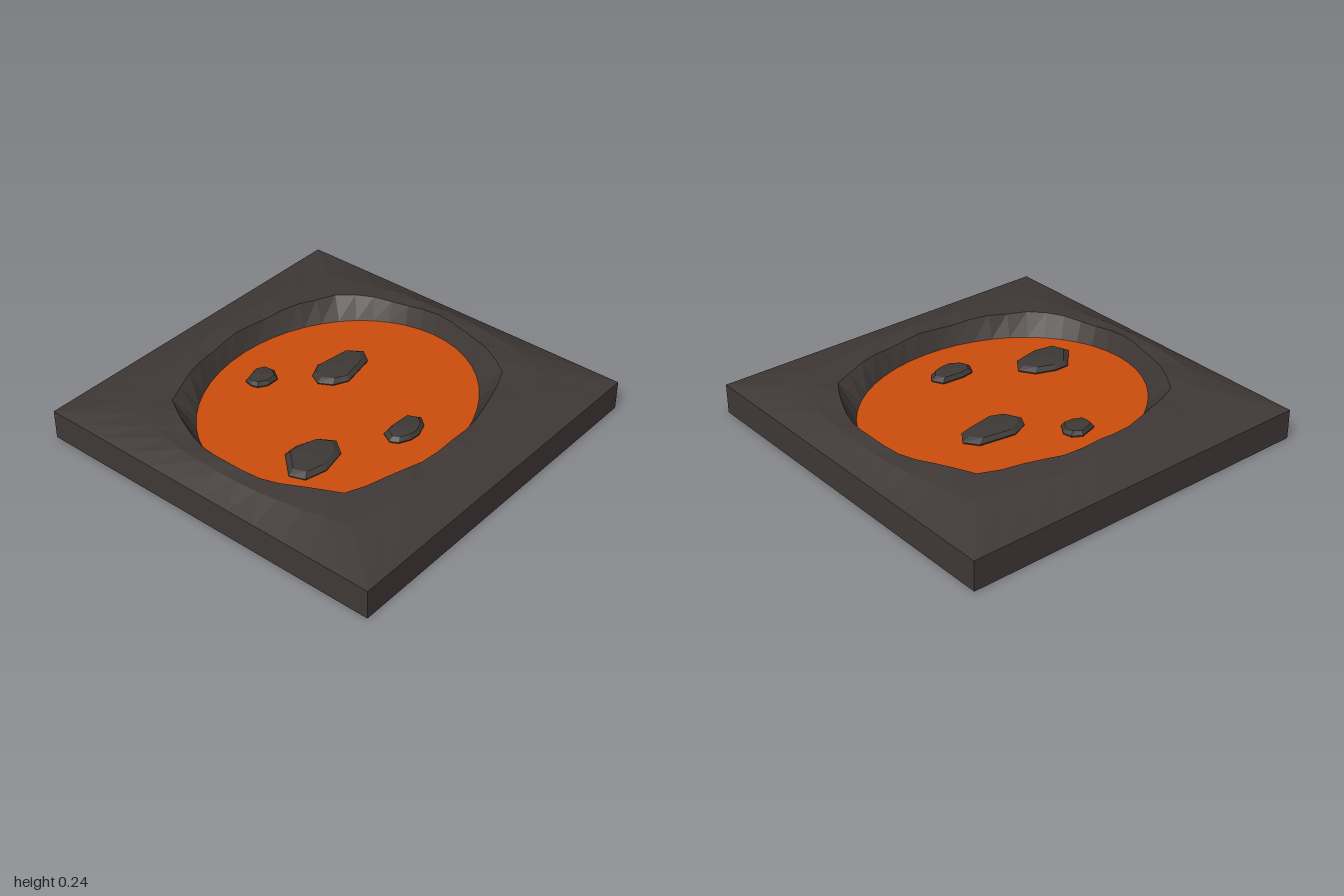
import * as THREE from 'three';

const stone = new THREE.MeshStandardMaterial({ color: 0x3f3836, flatShading: true });
stone.name = 'darkStone';
const rock = new THREE.MeshStandardMaterial({ color: 0x3d3936, flatShading: true });
rock.name = 'greyRock';
const lava = new THREE.MeshStandardMaterial({ color: 0xcd4c0d });
lava.name = 'lavaOrange';

const LAVA_Y = 0.13;
const STEPS = 12; // points per side of each ring

// Joins equal-length loops of points into a faceted skin
function skin(rings) {
  const pos = [];
  const tri = (a, b, c) => {
    if (a.distanceTo(b) > 1e-6 && b.distanceTo(c) > 1e-6 && a.distanceTo(c) > 1e-6) {
      for (const p of [a, b, c]) pos.push(p.x, p.y, p.z);
    }
  };
  for (let r = 0; r < rings.length - 1; r++) {
    const a = rings[r], b = rings[r + 1], n = a.length;
    for (let i = 0; i < n; i++) {
      const j = (i + 1) % n;
      tri(a[i], b[i], a[j]);
      tri(a[j], b[i], b[j]);
    }
  }
  const g = new THREE.BufferGeometry();
  g.setAttribute('position', new THREE.Float32BufferAttribute(pos, 3));
  g.computeVertexNormals();
  return g;
}

// Walks the four sides (west, north, east, south); place(alongX, u) gives [outward, sideways]
function ring(place, height) {
  const pts = [];
  const sides = [[-1, 0], [0, -1], [1, 0], [0, 1]];
  for (const [nx, nz] of sides) {
    for (let i = 0; i < STEPS; i++) {
      const u = (2 * i) / STEPS - 1;
      const [n, t] = place(nx !== 0, u);
      const x = nx * n - nz * t, z = nz * n + nx * t;
      pts.push(new THREE.Vector3(x, height(u, Math.atan2(x, z)), z));
    }
  }
  return pts;
}

// Rounded square: corner at (cx, cz), sides bulging out by bx and bz
const bulged = (cx, cz, bx, bz) => (alongX, u) =>
  alongX ? [cx + bx * (1 - u * u), cz * u] : [cz + bz * (1 - u * u), cx * u];

const ellipse = (rx, rz) => (alongX, u) => {
  const a = (u * Math.PI) / 4;
  return alongX ? [rx * Math.cos(a), rz * Math.sin(a)] : [rz * Math.cos(a), rx * Math.sin(a)];
};

// Low faceted rock from its outline on the lava
function makeRock(outline) {
  const n = outline.length;
  const cx = outline.reduce((s, p) => s + p[0], 0) / n;
  const cz = outline.reduce((s, p) => s + p[1], 0) / n;
  const loop = (scale, y) => outline.map(([x, z], i) => new THREE.Vector3(
    cx + (x - cx) * scale, y + (scale < 0.9 && scale > 0 ? 0.003 * (i % 2) : 0), cz + (z - cz) * scale));
  return skin([loop(0.95, LAVA_Y - 0.01), loop(1, LAVA_Y + 0.008),
    loop(0.8, LAVA_Y + 0.026), loop(0, LAVA_Y + 0.036)]);
}

export function createModel() {
  const model = new THREE.Group();
  model.name = 'lavaPoolTile';
  const add = (name, geometry, material) => {
    const mesh = new THREE.Mesh(geometry, material);
    mesh.name = name;
    model.add(mesh);
  };

  // Square slab rising to a wavy rim, then dropping into the basin
  const square = bulged(1, 1, 0, 0);
  add('stoneBasin', skin([
    ring(bulged(0, 0, 0, 0), () => 0),
    ring(square, () => 0),
    ring(square, () => 0.16),
    ring(bulged(0.76, 0.71, 0.12, 0.1), (u) => 0.226 - 0.012 * u * u),
    ring(bulged(0.62, 0.55, 0.19, 0.15), (u, a) => 0.233 + 0.007 * Math.cos(12 * a)),
    ring(ellipse(0.775, 0.655), () => LAVA_Y),
  ]), stone);

  // Flat lava surface
  add('lavaSurface', skin([
    ring(ellipse(0.775, 0.655), () => LAVA_Y),
    ring(ellipse(0, 0), () => LAVA_Y),
  ]), lava);

  // Rocks floating on the lava
  const outlines = [
    [[-0.61, 0.2], [-0.5, 0.08], [-0.42, 0.08], [-0.31, 0.12], [-0.26, 0.2], [-0.32, 0.28], [-0.46, 0.31], [-0.58, 0.28]],
    [[0.04, -0.18], [0.07, -0.24], [0.16, -0.28], [0.36, -0.25], [0.41, -0.18], [0.36, -0.11], [0.16, -0.07], [0.08, -0.11]],
    [[-0.1, 0.4], [-0.07, 0.34], [0, 0.33], [0.12, 0.34], [0.15, 0.4], [0.11, 0.45], [0.04, 0.475], [-0.02, 0.47], [-0.08, 0.44]],
    [[-0.19, -0.43], [-0.18, -0.47], [-0.08, -0.5], [-0.03, -0.47], [-0.02, -0.42], [-0.06, -0.36], [-0.13, -0.36], [-0.18, -0.39]],
  ];
  outlines.forEach((o, i) => add('floatingRock' + (i + 1), makeRock(o), rock));

  return model;
}
